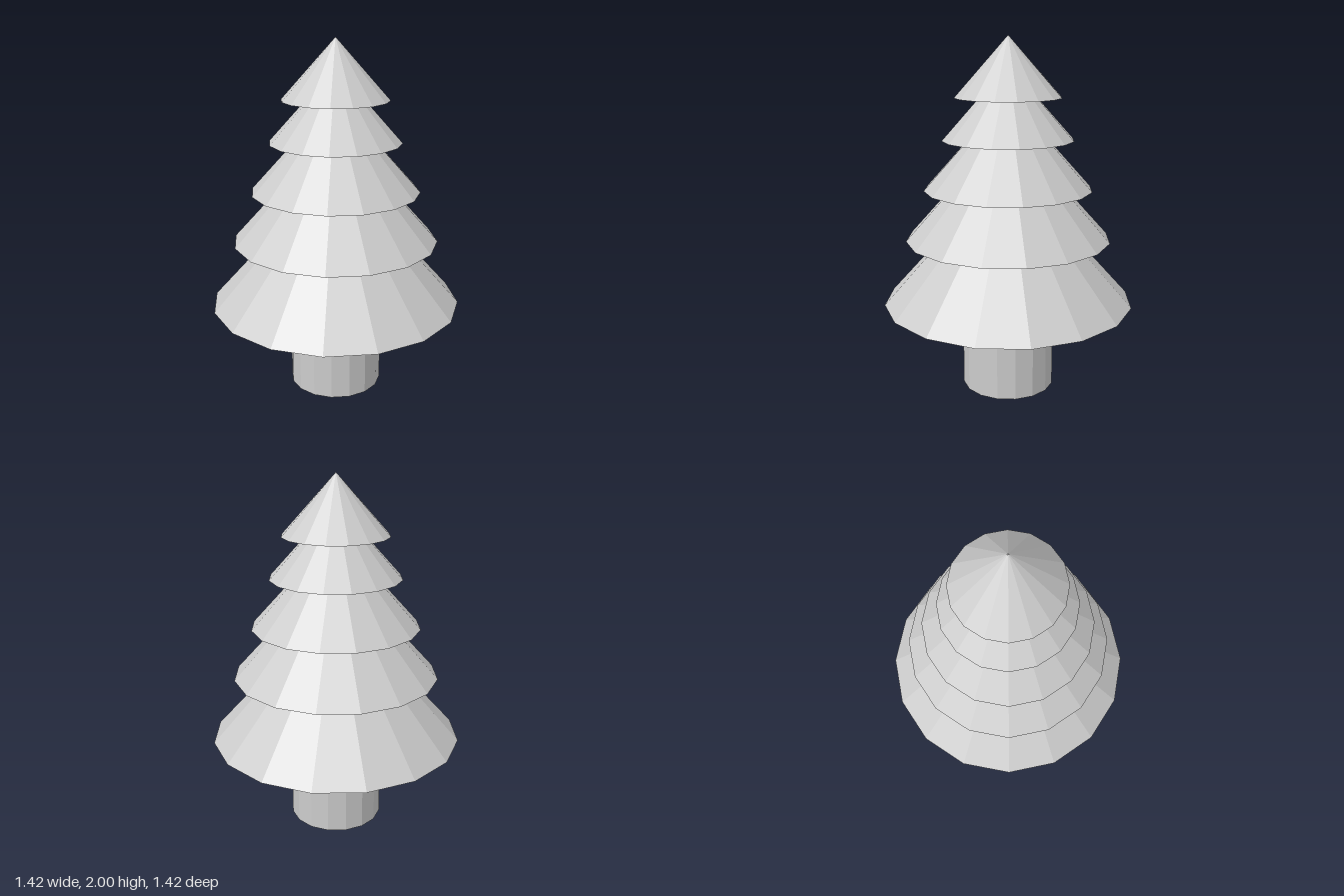
import * as THREE from 'three';

const SIDES = 16;
const SLOPE = 0.9; // radius gained per unit of height in every tier

export function createModel() {
  const tree = new THREE.Group();
  tree.name = 'pineTree';
  const material = new THREE.MeshStandardMaterial({ color: 0xcccccc, flatShading: true });

  // Trunk, reaching just inside the lowest tier
  const trunkHeight = 0.52;
  const trunk = new THREE.Mesh(
    new THREE.CylinderGeometry(0.265, 0.265, trunkHeight, SIDES), material);
  trunk.name = 'trunk';
  trunk.position.y = trunkHeight / 2;
  tree.add(trunk);

  // Foliage tiers from bottom to top: [base height, base radius]
  const tiers = [[0.51, 0.71], [0.88, 0.578], [1.165, 0.472], [1.44, 0.367], [1.67, 0.297]];
  tiers.forEach(([base, radius], i) => {
    const height = radius / SLOPE;
    const tier = new THREE.Mesh(new THREE.ConeGeometry(radius, height, SIDES), material);
    tier.name = `foliageTier${i + 1}`;
    tier.position.y = base + height / 2;
    tree.add(tier);
  });

  return tree;
}
